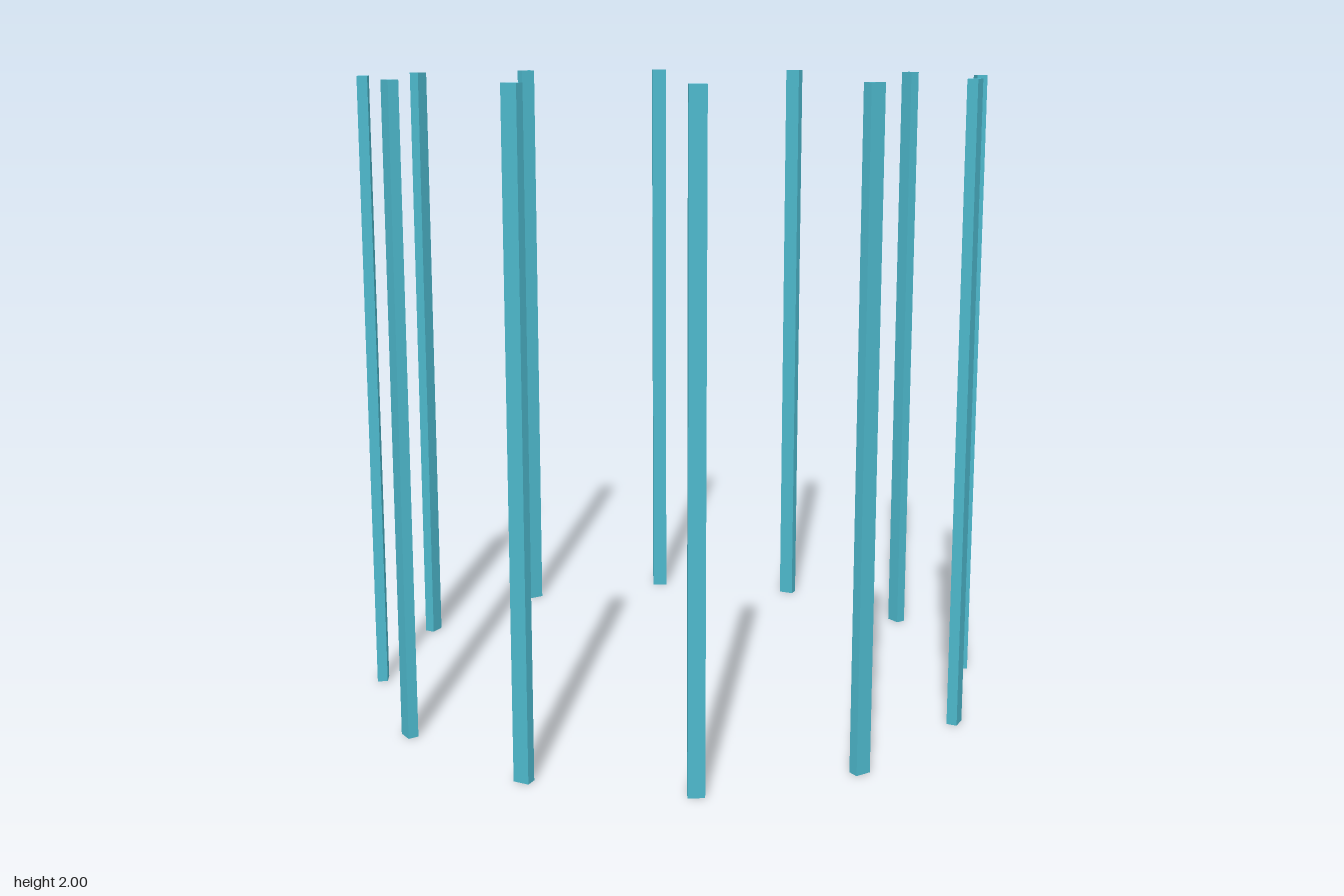
import * as THREE from 'three';

const COUNT = 12;
const WIDTH = 0.05;   // along the ring
const DEPTH = 0.033;  // towards the centre
const HEIGHT = 2;
const RADIUS = 1 - DEPTH / 2;

export function createModel() {
  const group = new THREE.Group();
  group.name = 'postRing';
  const material = new THREE.MeshStandardMaterial({ color: 0x4db8cc });
  const geometry = new THREE.BoxGeometry(WIDTH, HEIGHT, DEPTH);

  // upright posts spaced evenly round a circle, each facing outwards
  for (let i = 0; i < COUNT; i++) {
    const angle = (i / COUNT) * Math.PI * 2;
    const post = new THREE.Mesh(geometry, material);
    post.name = `post${i + 1}`;
    post.position.set(Math.sin(angle) * RADIUS, HEIGHT / 2, Math.cos(angle) * RADIUS);
    post.rotation.y = angle;
    group.add(post);
  }
  return group;
}
